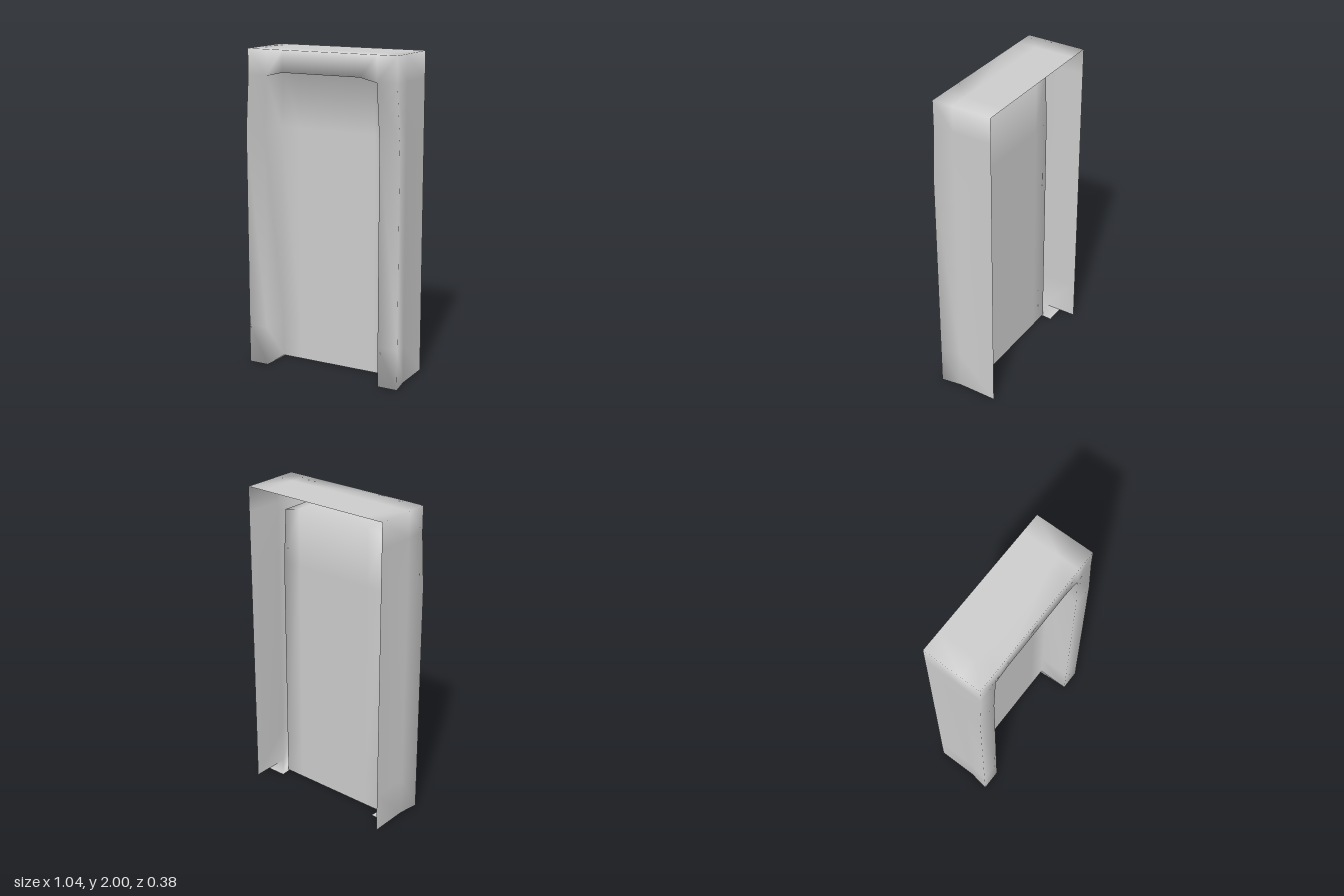
import * as THREE from 'three';
import { mergeVertices } from 'three/addons/utils/BufferGeometryUtils.js';

const BACK = -0.19, FLARE_START = 0.06, FRONT = 0.19, PANEL = -0.01, LIP = -0.08;

// Stations up the +x leg and to the middle of the header:
// outer x, outer y, outward flare at the front, inner x, inner y
const HALF = [
  [0.5, 0, 0.02, 0.39, 0],
  [0.5, 0.25, 0.02, 0.39, 0.25],
  [0.5, 1.5, 0.02, 0.39, 1.5],
  [0.5, 1.84, 0, 0.37, 1.84],
  [0.5, 2, 0, 0.37, 1.84],
  [0.37, 2, 0, 0.37, 1.84],
  [0.26, 2, 0, 0.26, 1.865],
];

// Cross-section of the frame: outer wall, front strip, inner wall
function section([ox, oy, flare, ix, iy], side) {
  return [
    [ox * side, oy, BACK],
    [ox * side, oy, FLARE_START],
    [(ox + flare) * side, oy, FRONT],
    [ix * side, iy, FRONT],
    [ix * side, iy, PANEL],
  ];
}

export function createModel() {
  const positions = [];
  const fan = (...p) => {
    for (let i = 1; i < p.length - 1; i++) positions.push(...p[0], ...p[i], ...p[i + 1]);
  };
  const grid = (rows) => {
    for (let r = 0; r < rows.length - 1; r++)
      for (let c = 0; c < rows[r].length - 1; c++)
        fan(rows[r][c], rows[r + 1][c], rows[r + 1][c + 1], rows[r][c + 1]);
  };

  // Frame swept up one leg, across the header and down the other leg
  grid([
    ...HALF.map((s) => section(s, 1)),
    ...[...HALF].reverse().map((s) => section(s, -1)),
  ]);

  // Recessed panel joined to the inner wall
  const panelRow = (x, y, midY = y) => [
    [x, y, PANEL], [0.26, midY, PANEL], [-0.26, midY, PANEL], [-x, y, PANEL],
  ];
  grid([panelRow(0.39, 0), panelRow(0.39, 0.25), panelRow(0.39, 1.5), panelRow(0.37, 1.84, 1.865)]);

  // Foot caps with a small lip behind the panel
  for (const side of [1, -1]) {
    const [, flareStart, outer, inner] = section(HALF[0], side);
    const cap = [[0.375 * side, 0, LIP], [0.5 * side, 0, LIP], flareStart, outer, inner];
    fan(...(side > 0 ? cap : cap.reverse()));
  }

  const raw = new THREE.BufferGeometry();
  raw.setAttribute('position', new THREE.Float32BufferAttribute(positions, 3));
  const geometry = mergeVertices(raw);
  geometry.computeVertexNormals();

  const shell = new THREE.Mesh(
    geometry,
    new THREE.MeshStandardMaterial({ color: 0xcccccc, side: THREE.DoubleSide })
  );
  shell.name = 'frameAndPanelShell';
  const group = new THREE.Group();
  group.name = 'recessedPanel';
  group.add(shell);
  return group;
}
